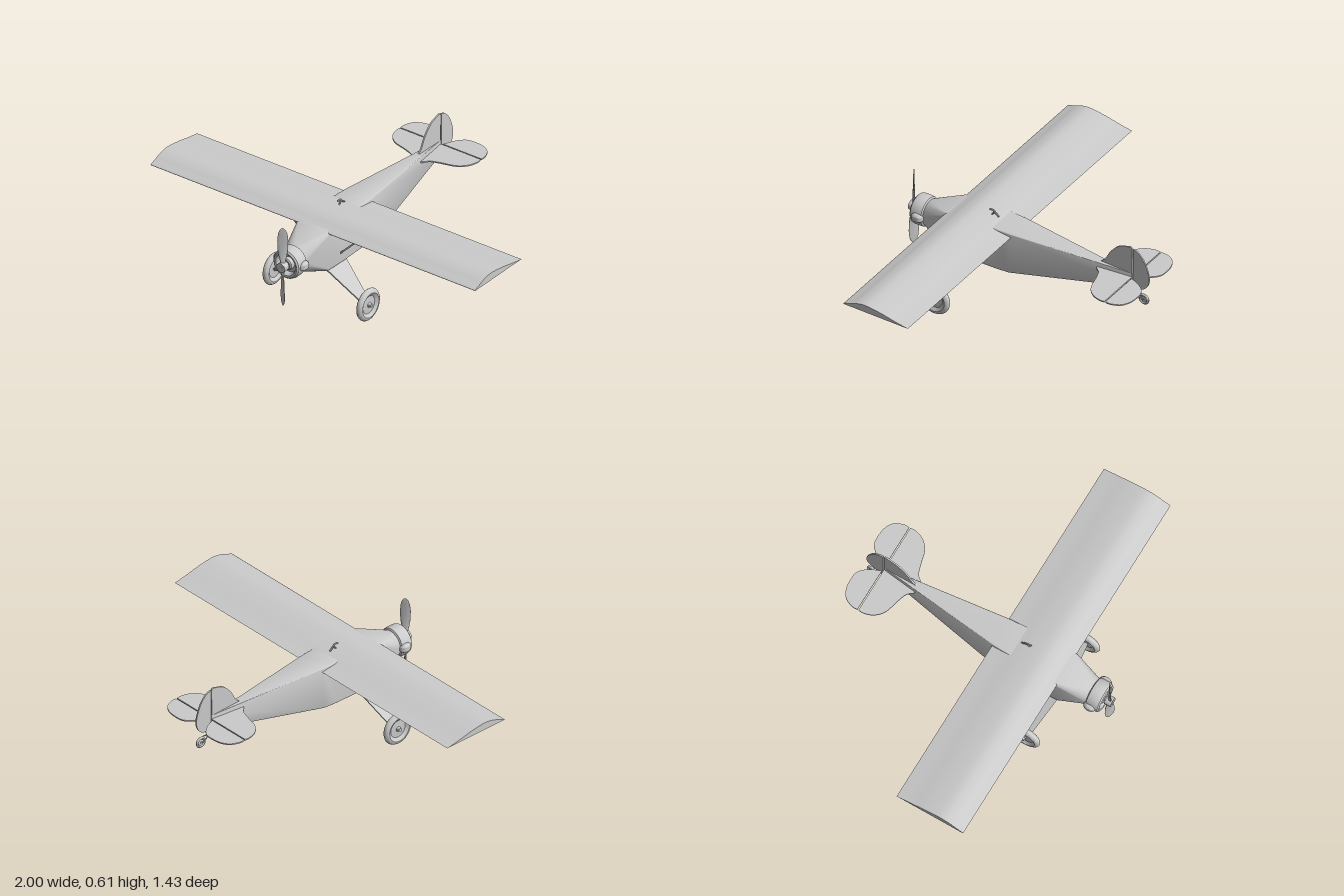
import * as THREE from 'three';
import { toCreasedNormals } from 'three/addons/utils/BufferGeometryUtils.js';

const material = new THREE.MeshStandardMaterial({ color: 0xcccccc, side: THREE.DoubleSide });
const HUB_Y = 0.352;

function part(name, geometry, crease = 0.6) {
  const mesh = new THREE.Mesh(toCreasedNormals(geometry, crease), material);
  mesh.name = name;
  return mesh;
}

// Skin a list of equal-length rings and close both ends
function loft(rings) {
  const n = rings[0].length, index = [];
  for (let i = 0; i < rings.length - 1; i++) {
    for (let j = 0; j < n; j++) {
      const a = i * n + j, b = i * n + (j + 1) % n;
      index.push(a, b, b + n, a, b + n, a + n);
    }
  }
  const last = (rings.length - 1) * n;
  for (let j = 1; j < n - 1; j++) index.push(0, j + 1, j, last, last + j, last + j + 1);
  const g = new THREE.BufferGeometry();
  g.setAttribute('position', new THREE.Float32BufferAttribute(rings.flat(2), 3));
  g.setIndex(index);
  return g;
}

// Rounded trapezoid cross-section of the fuselage
function bodyRing([z, top, bottom, halfTop, halfBottom, r]) {
  const corners = [[halfTop, top, 1, 1], [-halfTop, top, -1, 1], [-halfBottom, bottom, -1, -1], [halfBottom, bottom, 1, -1]];
  return corners.flatMap(([x, y, sx, sy], q) => Array.from({ length: 7 }, (_, k) => {
    const a = (q + k / 6) * Math.PI / 2;
    return [x - sx * r + r * Math.cos(a), y - sy * r + r * Math.sin(a), z];
  }));
}

// Slanted flat strut between two chord lines [x, y, zBack, zFront]
function strut(low, high, t) {
  return loft([low, high].map(([x, y, z0, z1]) =>
    [[x + t, y, z1], [x + t, y, z0], [x - t, y, z0], [x - t, y, z1]]));
}

// Flat sheet with a smooth outline; straight closing edge from last to first point
function sheet(points, thickness) {
  const curve = new THREE.SplineCurve(points.map(p => new THREE.Vector2(...p)));
  const g = new THREE.ExtrudeGeometry(new THREE.Shape(curve.getPoints(36)), { depth: thickness, bevelEnabled: false });
  return g.translate(0, 0, -thickness / 2);
}

// Outline given as [z, y], standing in the plane x = 0
const uprightSheet = (pts, t) => sheet(pts.map(([z, y]) => [-z, y]), t).rotateY(Math.PI / 2);
// Outline given as [x, z], lying flat
const flatSheet = (pts, t, s) => sheet(pts.map(([x, z]) => [x * s, -z]), t).rotateX(-Math.PI / 2);

const lathe = (pts, n = 40) => new THREE.LatheGeometry(pts.map(p => new THREE.Vector2(...p)), n);

function wheelGeometry() {
  const half = [[0, 0.012], [0.012, 0.012], [0.014, 0.007], [0.048, 0.005], [0.058, 0.012],
    [0.066, 0.017], [0.074, 0.0165], [0.082, 0.011]];
  const profile = [...half.map(([r, h]) => [r, -h]), [0.087, -0.003], [0.087, 0.003], ...half.slice().reverse()];
  return lathe(profile).rotateZ(-Math.PI / 2);
}

function tube(points, radius) {
  const path = new THREE.CatmullRomCurve3(points.map(p => new THREE.Vector3(...p)));
  return new THREE.TubeGeometry(path, 20, radius, 8);
}

function createPropeller() {
  const group = new THREE.Group();
  group.name = 'propeller';
  // distance from hub, half chord, half thickness, twist
  const stations = [[0, 0.012, 0.009, 0.9], [0.03, 0.013, 0.008, 0.85], [0.06, 0.02, 0.006, 0.75],
    [0.1, 0.026, 0.005, 0.65], [0.15, 0.028, 0.004, 0.58], [0.19, 0.024, 0.003, 0.52],
    [0.21, 0.016, 0.002, 0.5], [0.219, 0.008, 0.001, 0.5], [0.222, 0.001, 0.0005, 0.5]];
  for (let b = 0; b < 2; b++) {
    const blade = part('propellerBlade', loft(stations.map(([y, c, t, w]) =>
      Array.from({ length: 14 }, (_, k) => {
        const a = k / 14 * Math.PI * 2, u = c * Math.sin(a), v = t * Math.cos(a);
        return [u * Math.cos(w) + v * Math.sin(w), y, -u * Math.sin(w) + v * Math.cos(w)];
      }))), 1);
    blade.rotation.z = b * Math.PI;
    group.add(blade);
  }
  group.add(part('propellerHub', new THREE.CylinderGeometry(0.026, 0.026, 0.036, 28).rotateX(Math.PI / 2)));
  const shaft = part('propellerShaft', new THREE.CylinderGeometry(0.012, 0.012, 0.07, 20).rotateX(Math.PI / 2));
  shaft.position.z = -0.016;
  group.add(shaft);
  group.position.set(0, HUB_Y, 0.695);
  return group;
}

export function createModel() {
  const model = new THREE.Group();
  model.name = 'airplane';

  // Fuselage: z, top, bottom, half width at top, half width at bottom, corner radius
  model.add(part('fuselage', loft([
    [-0.6, 0.457, 0.375, 0.003, 0.004, 0.002],
    [0.07, 0.474, 0.25, 0.08, 0.097, 0.006],
    [0.14, 0.475, 0.247, 0.084, 0.1, 0.006],
    [0.32, 0.475, 0.241, 0.094, 0.1, 0.01],
    [0.45, 0.464, 0.24, 0.1, 0.1, 0.018],
    [0.6, 0.422, 0.282, 0.07, 0.07, 0.07]
  ].map(bodyRing)), 0.5));

  // Cowl and engine cylinders
  const cowl = part('cowl', lathe([[0, 0.597], [0.07, 0.597], [0.079, 0.603], [0.081, 0.62], [0.081, 0.655],
    [0.078, 0.667], [0.07, 0.674], [0.06, 0.672], [0.053, 0.662], [0.05, 0.645], [0.034, 0.645],
    [0.032, 0.665], [0.026, 0.67], [0, 0.67]]).rotateX(Math.PI / 2));
  cowl.position.y = HUB_Y;
  model.add(cowl);

  // Wing: flat bottom, curved top
  const airfoil = [[0.067, 0.455], [0.137, 0.467], [0.23, 0.486], [0.316, 0.496], [0.37, 0.488],
    [0.41, 0.473], [0.445, 0.46], [0.447, 0.455]];
  model.add(part('wing', uprightSheet(airfoil, 2)));

  // Small hook on the wing
  model.add(part('wingHook', tube([[0, 0.512, 0.245], [0, 0.511, 0.222], [0, 0.498, 0.208], [0, 0.485, 0.19]], 0.005)));
  model.add(part('wingHookPost', tube([[0, 0.485, 0.232], [0, 0.497, 0.222], [0, 0.508, 0.215]], 0.004)));

  // Fin and rudder
  model.add(part('fin', uprightSheet([[-0.4, 0.455], [-0.435, 0.479], [-0.47, 0.54], [-0.515, 0.588],
    [-0.56, 0.606], [-0.597, 0.608], [-0.597, 0.53], [-0.597, 0.445]], 0.008)));
  model.add(part('rudder', uprightSheet([[-0.603, 0.375], [-0.63, 0.376], [-0.67, 0.39], [-0.694, 0.425],
    [-0.698, 0.475], [-0.672, 0.55], [-0.635, 0.595], [-0.603, 0.607]], 0.008)));

  for (const s of [1, -1]) {
    const engine = part('engineCylinder', new THREE.SphereGeometry(1, 24, 16).scale(0.026, 0.026, 0.035), 1);
    engine.position.set(s * 0.074, HUB_Y, 0.625);
    model.add(engine);

    // Tailplane and elevator halves
    const tailplane = part('tailplane', flatSheet([[0.25, -0.598], [0.252, -0.57], [0.235, -0.52], [0.19, -0.478],
      [0.11, -0.455], [0.06, -0.437], [0.035, -0.41], [0, -0.4], [0, -0.5], [0, -0.598]], 0.007, s));
    const elevator = part('elevator', flatSheet([[0.25, -0.604], [0.25, -0.635], [0.23, -0.68], [0.19, -0.706],
      [0.14, -0.714], [0.085, -0.708], [0.042, -0.665], [0.015, -0.604]], 0.007, s));
    tailplane.position.y = elevator.position.y = 0.433;
    model.add(tailplane, elevator);

    // Wing struts
    model.add(part('wingStrut', strut([s * 0.092, 0.295, 0.285, 0.355], [s * 0.252, 0.456, 0.285, 0.355], 0.006)));

    // Main landing gear
    model.add(part('landingGearLeg', strut([s * 0.275, 0.095, 0.355, 0.402], [s * 0.085, 0.247, 0.298, 0.45], 0.008)));
    const axle = part('axle', new THREE.CylinderGeometry(0.01, 0.01, 0.055, 18).rotateZ(Math.PI / 2));
    axle.position.set(s * 0.286, 0.089, 0.379);
    const wheel = part('mainWheel', wheelGeometry());
    wheel.position.set(s * 0.289, 0.087, 0.379);
    model.add(axle, wheel);

    // Tail wheel fork
    model.add(part('tailWheelFork', tube([[0, 0.352, -0.622], [s * 0.011, 0.347, -0.637], [s * 0.011, 0.33, -0.667]], 0.003)));
  }

  // Tail wheel
  model.add(part('tailWheelStrut', tube([[0, 0.385, -0.598], [0, 0.36, -0.608], [0, 0.351, -0.625]], 0.004)));
  const tailWheel = part('tailWheel', wheelGeometry().scale(0.4, 0.35, 0.35));
  tailWheel.position.set(0, 0.328, -0.667);
  model.add(tailWheel);

  model.add(createPropeller());
  return model;
}
